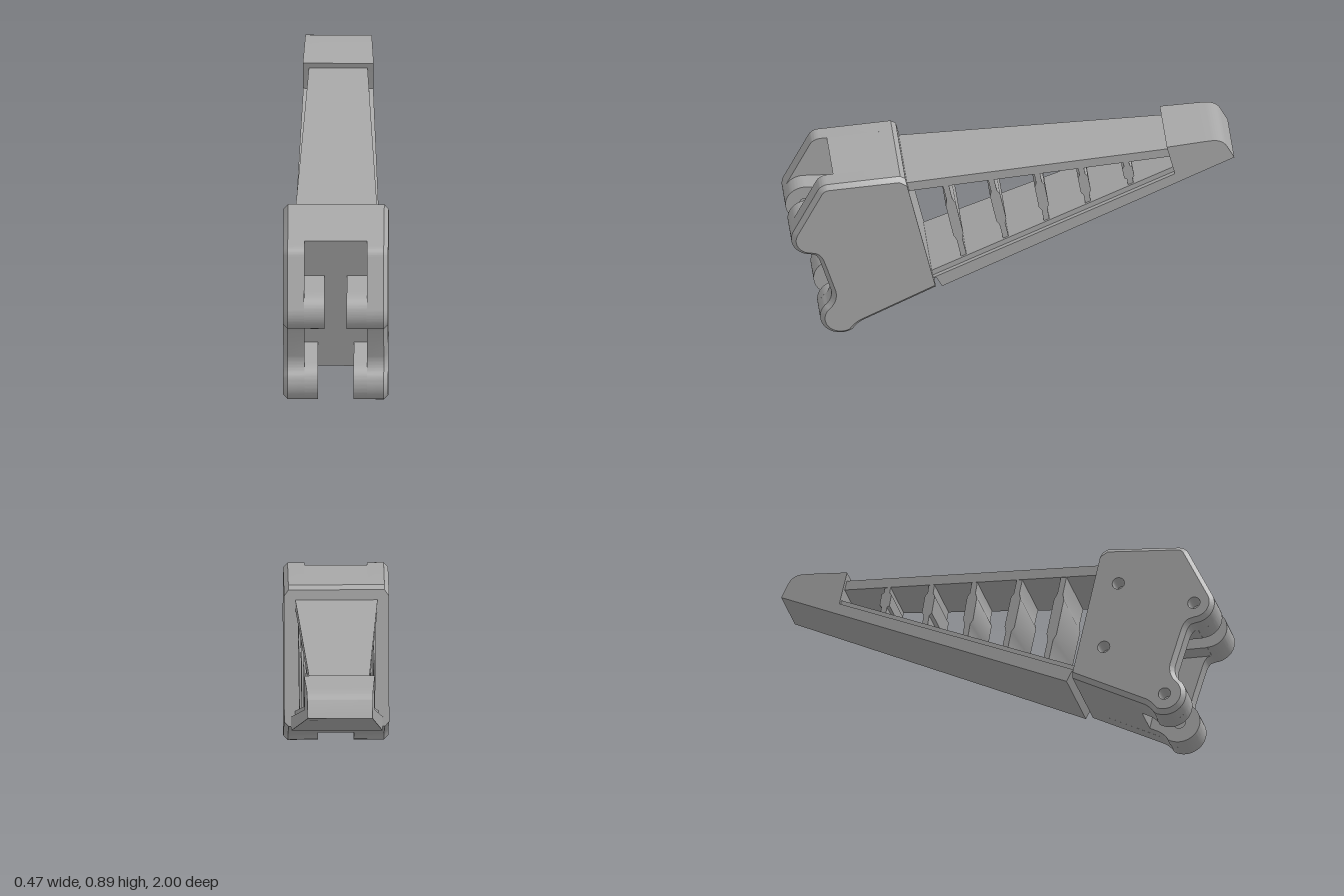
import * as THREE from 'three';
import { toCreasedNormals } from 'three/addons/utils/BufferGeometryUtils.js';

const gray = new THREE.MeshStandardMaterial({ color: 0xa8a8a8 });
gray.name = 'plain gray';

// Profiles are drawn as (u, y) with u = -z, then extruded across x.
const INNER = 0.14, OUTER = 0.235, CHAMFER = 0.02;
const UP = [-0.91, 0.53], LOW = [-0.775, 0.095], R = 0.092, HOLE = 0.028;

function addMesh(group, name, geometry) {
  const mesh = new THREE.Mesh(toCreasedNormals(geometry, 0.55), gray);
  mesh.name = name;
  group.add(mesh);
}

function polygon(points) {
  return new THREE.Shape(points.map(([u, y]) => new THREE.Vector2(u, y)));
}

function drill(shape, [u, y]) {
  shape.holes.push(new THREE.Path().absarc(u, y, HOLE, 0, Math.PI * 2, true));
}

// Straight slab between two x positions
function slab(shape, x0, x1) {
  const g = new THREE.ExtrudeGeometry(shape, { depth: x1 - x0, bevelEnabled: false, curveSegments: 24 });
  return g.translate(0, 0, x0).rotateY(Math.PI / 2);
}

// Slab across the arm, narrowing toward the tip
function taperedSlab(shape, inset = 0) {
  const g = slab(shape, -1, 1);
  const p = g.attributes.position;
  for (let i = 0; i < p.count; i++) {
    const half = 0.145 + 0.0448 * (p.getZ(i) + 1) - inset;
    p.setX(i, p.getX(i) * half);
  }
  return g;
}

// Side plate outline, including both rounded lugs
function plateOutline() {
  const s = new THREE.Shape();
  s.moveTo(-0.35, 0.222);
  s.lineTo(-0.68, 0.06);
  s.quadraticCurveTo(-0.705, 0.045, -0.721, 0.02);
  s.absarc(...LOW, R + 0.003, -0.95, -3.82, true);
  s.quadraticCurveTo(-0.81, 0.19, -0.822, 0.24);
  s.lineTo(-0.868, 0.39);
  s.quadraticCurveTo(-0.882, 0.438, -0.91, 0.44);
  s.absarc(...UP, 0.09, -Math.PI / 2, -3.615, true);
  s.lineTo(-0.885, 0.78);
  s.quadraticCurveTo(-0.87, 0.815, -0.835, 0.818);
  s.lineTo(-0.51, 0.84);
  s.lineTo(-0.487, 0.825);
  const pts = s.getPoints(14);
  return pts.filter((p, i) => i === 0 || p.distanceTo(pts[i - 1]) > 0.004).reverse();
}

// Move each edge of a counterclockwise outline inward, except the long rear edge
function insetOutline(pts, d) {
  const n = pts.length;
  const edges = pts.map((p, i) => {
    const q = pts[(i + 1) % n], len = p.distanceTo(q);
    const normal = new THREE.Vector2(p.y - q.y, q.x - p.x).divideScalar(len);
    return { normal, c: normal.dot(p) + (len > 0.5 ? 0 : d) };
  });
  return pts.map((p, i) => {
    const a = edges[(i + n - 1) % n], b = edges[i];
    const det = a.normal.cross(b.normal);
    if (Math.abs(det) < 1e-3) return p.clone().addScaledVector(b.normal, d);
    return new THREE.Vector2(
      (a.c * b.normal.y - b.c * a.normal.y) / det,
      (a.normal.x * b.c - b.normal.x * a.c) / det);
  });
}

// Side plate with a chamfered outer rim
function sidePlate(side, holes) {
  const pts = plateOutline(), inner = insetOutline(pts, CHAMFER);
  const key = (u, y) => `${u.toFixed(5)},${y.toFixed(5)}`;
  const moved = new Map(pts.map((p, i) => [key(p.x, p.y), inner[i]]));
  const shape = new THREE.Shape(pts);
  holes.forEach(h => drill(shape, h));
  const g = new THREE.ExtrudeGeometry(shape, { depth: 2, steps: 2, bevelEnabled: false });
  const p = g.attributes.position;
  const levels = [INNER, OUTER - CHAMFER, OUTER];
  for (let i = 0; i < p.count; i++) {
    const step = Math.round(p.getZ(i));
    const level = side > 0 ? step : 2 - step;
    const to = level === 2 && moved.get(key(p.getX(i), p.getY(i)));
    if (to) p.setXY(i, to.x, to.y);
    p.setZ(i, side * levels[level]);
  }
  return g.rotateY(Math.PI / 2);
}

function upperLug() {
  const s = new THREE.Shape();
  s.moveTo(-0.70, 0.438);
  s.lineTo(-0.91, 0.438);
  s.absarc(...UP, 0.09, -Math.PI / 2, -Math.PI * 1.5, true);
  s.lineTo(-0.74, 0.615);
  drill(s, UP);
  return s;
}

function lowerLug() {
  const s = new THREE.Shape();
  s.moveTo(-0.62, 0.09);
  s.lineTo(-0.68, 0.06);
  s.quadraticCurveTo(-0.705, 0.045, -0.721, 0.02);
  s.absarc(...LOW, R + 0.003, -0.95, -4.45, true);
  s.lineTo(-0.65, 0.226);
  drill(s, LOW);
  return s;
}

// Cross rib with a thicker middle, from top (u, y) to bottom (u, y)
function rib(top, bottom) {
  const a = new THREE.Vector2(...top), b = new THREE.Vector2(...bottom);
  const side = b.clone().sub(a).normalize();
  side.set(-side.y, side.x);
  const stations = [[-0.06, 0.013], [0.2, 0.013], [0.27, 0.023], [0.7, 0.023], [0.77, 0.013], [1.06, 0.013]];
  const edge = sign => stations.map(([t, w]) => a.clone().lerp(b, t).addScaledVector(side, sign * w));
  return new THREE.Shape([...edge(1), ...edge(-1).reverse()]);
}

export function createModel() {
  const model = new THREE.Group();
  model.name = 'bracketArm';

  // Mounting head
  const head = new THREE.Group();
  head.name = 'head';
  model.add(head);
  addMesh(head, 'headCore', slab(polygon([
    [-0.35, 0.222], [-0.487, 0.825], [-0.51, 0.84], [-0.805, 0.82], [-0.64, 0.08],
  ]), -INNER, INNER));
  addMesh(head, 'leftSidePlate', sidePlate(1, []));
  addMesh(head, 'rightSidePlate', sidePlate(-1, [UP, LOW, [-0.564, 0.66], [-0.497, 0.353]]));
  for (const [name, shape, gap] of [['upperLug', upperLug(), 0.05], ['lowerLug', lowerLug(), 0.08]]) {
    addMesh(head, name + 'Left', slab(shape, gap, INNER));
    addMesh(head, name + 'Right', slab(shape, -INNER, -gap));
  }

  // Tapered arm
  const arm = new THREE.Group();
  arm.name = 'arm';
  model.add(arm);
  addMesh(arm, 'topPlate', taperedSlab(polygon([
    [-0.50, 0.779], [-0.50, 0.732], [0.73, 0.802], [0.73, 0.846],
  ]), 0.027));
  addMesh(arm, 'bottomBeam', taperedSlab(polygon([
    [-0.32, 0.214], [0.76, 0.682], [0.74, 0.727], [-0.36, 0.265], [-0.345, 0.262],
  ])));
  addMesh(arm, 'bottomRail', taperedSlab(polygon([
    [-0.38, 0.25], [0.74, 0.72], [0.74, 0.754], [-0.38, 0.285],
  ]), 0.02));

  // Cross ribs
  const ribs = [
    [[-0.30, 0.742], [-0.22, 0.353]],
    [[-0.096, 0.755], [-0.03, 0.433]],
    [[0.112, 0.767], [0.155, 0.509]],
    [[0.31, 0.778], [0.342, 0.587]],
    [[0.513, 0.79], [0.535, 0.668]],
  ];
  ribs.forEach(([top, bottom], i) => addMesh(arm, `crossRib${i + 1}`, taperedSlab(rib(top, bottom), 0.03)));

  // Rounded end block
  const tip = new THREE.Shape();
  tip.moveTo(0.74, 0.6735);
  tip.lineTo(1, 0.786);
  tip.lineTo(0.967, 0.85);
  tip.quadraticCurveTo(0.947, 0.888, 0.9, 0.888);
  tip.lineTo(0.86, 0.886);
  tip.lineTo(0.695, 0.873);
  tip.lineTo(0.727, 0.74);
  addMesh(arm, 'endBlock', taperedSlab(tip));

  return model;
}
